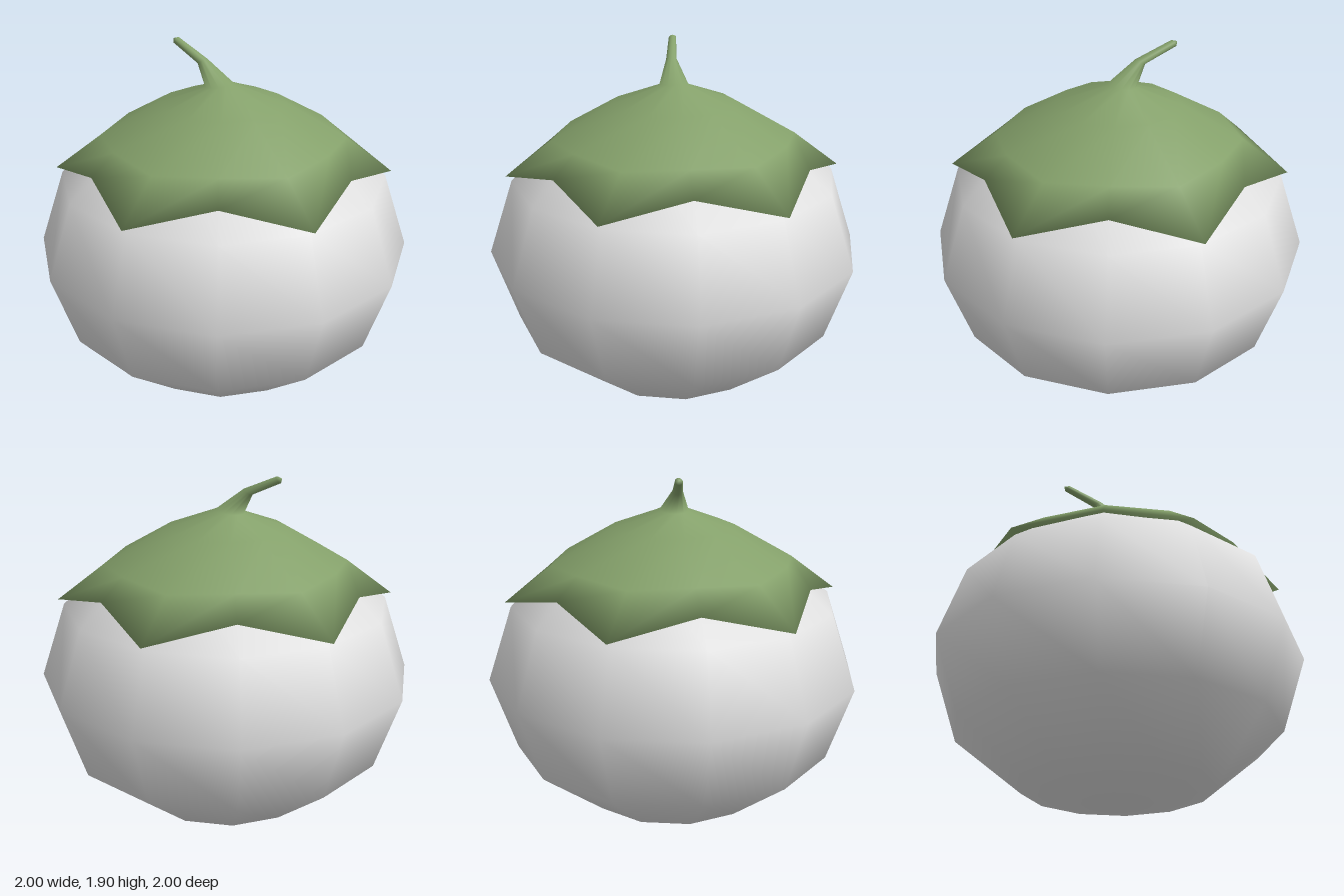
import * as THREE from 'three';

const SIDES = 12;

// Tilted ring of points; odd points may use their own radius and height (leaf tips)
function ring({ x = 0, y, z = 0, r, tilt = 0, tipR = r, tipY = y }) {
  return Array.from({ length: SIDES }, (_, j) => {
    const a = (j / SIDES) * Math.PI * 2;
    const tip = j % 2 === 1;
    const rad = tip ? tipR : r;
    const u = Math.cos(a) * rad;
    return [x + u * Math.cos(tilt), (tip ? tipY : y) + u * Math.sin(tilt), z + Math.sin(a) * rad];
  });
}

// Smooth skin over a stack of rings, closed by a point at the end
function loft(rings, end) {
  const index = [];
  const last = (rings.length - 1) * SIDES;
  for (let j = 0; j < SIDES; j++) {
    const k = (j + 1) % SIDES;
    for (let o = 0; o < last; o += SIDES) {
      index.push(o + j, o + SIDES + j, o + k, o + k, o + SIDES + j, o + SIDES + k);
    }
    index.push(last + j, last + SIDES, last + k);
  }
  const geo = new THREE.BufferGeometry();
  geo.setAttribute('position', new THREE.Float32BufferAttribute([...rings.flat(2), ...end], 3));
  geo.setIndex(index);
  geo.computeVertexNormals();
  return geo;
}

export function createModel() {
  const model = new THREE.Group();
  const shellMat = new THREE.MeshStandardMaterial({ color: 0xe0e0e0 });
  shellMat.name = 'pale grey';
  const leafMat = new THREE.MeshStandardMaterial({ color: 0x84a06a, side: THREE.DoubleSide });
  leafMat.name = 'leaf green';

  // Squashed round fruit
  const bodyGeo = new THREE.SphereGeometry(1, SIDES, 6);
  bodyGeo.scale(1, 0.8, 1);
  const body = new THREE.Mesh(bodyGeo, shellMat);
  body.name = 'fruitBody';
  body.position.y = 0.8;
  model.add(body);

  // Six-pointed leaf cap drawn up into a bent stem
  const capGeo = loft([
    ring({ r: 0.6, y: 1.37 }),                                   // tucked underside
    ring({ r: 0.745, y: 1.32, tipR: 0.896, tipY: 1.225 }),       // pointed rim
    ring({ r: 0.62, y: 1.43, tipR: 0.65, tipY: 1.412 }),
    ring({ r: 0.33, y: 1.597 }),
    ring({ x: -0.022, y: 1.69, r: 0.076, tilt: 0.13 }),          // stem base
    ring({ x: -0.125, y: 1.8, r: 0.028, tilt: 0.5 }),            // bend
    ring({ x: -0.305, y: 1.88, z: -0.027, r: 0.02, tilt: 0.95 }) // stem end
  ], [-0.323, 1.888, -0.028]);

  // Roll the rim normals under so the leaf edge shades as a soft fold
  const normal = capGeo.attributes.normal;
  for (let j = 0; j < SIDES; j++) {
    const a = (j / SIDES) * Math.PI * 2;
    normal.setXYZ(SIDES + j, 0.93 * Math.cos(a), -0.36, 0.93 * Math.sin(a));
  }
  const cap = new THREE.Mesh(capGeo, leafMat);
  cap.name = 'leafCapAndStem';
  model.add(cap);

  return model;
}
